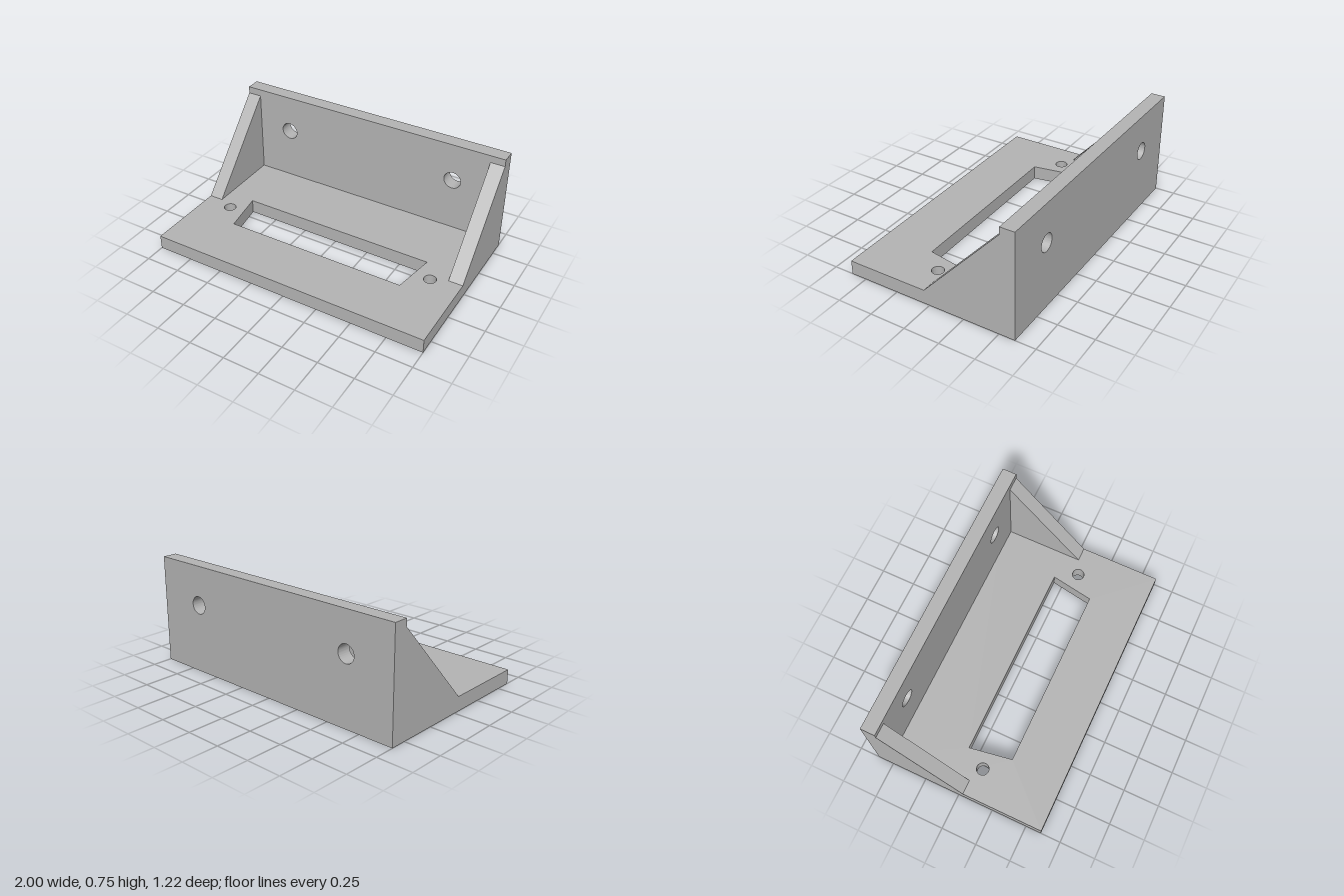
import * as THREE from 'three';
import { toCreasedNormals } from 'three/addons/utils/BufferGeometryUtils.js';

const polygon = (points) => new THREE.Shape(points.map(([x, y]) => new THREE.Vector2(x, y)));

function addRoundHole(shape, x, y, radius) {
  const hole = new THREE.Path();
  hole.absarc(x, y, radius, 0, Math.PI * 2, true);
  shape.holes.push(hole);
}

// Straight extrusion with smooth hole walls and sharp edges
function extrude(shape, depth) {
  const geometry = new THREE.ExtrudeGeometry(shape, { depth, bevelEnabled: false, curveSegments: 32 });
  return toCreasedNormals(geometry, Math.PI / 6);
}

export function createModel() {
  const group = new THREE.Group();
  const grey = new THREE.MeshStandardMaterial({ color: 0xb4b4b4 });
  grey.name = 'plain grey';

  const add = (name, geometry) => {
    const mesh = new THREE.Mesh(geometry, grey);
    mesh.name = name;
    group.add(mesh);
  };

  const W = 1, D = 0.61, T = 0.1, H = 0.75;

  // Base plate, drawn with -z as the shape's y: tapered slot and two screw holes
  const base = polygon([[-W, -D], [W, -D], [W, D], [-W, D]]);
  base.holes.push(polygon([[-0.65, -0.235], [-0.7, 0.065], [0.7, 0.065], [0.65, -0.235]]));
  for (const side of [-1, 1]) addRoundHole(base, side * 0.792, -0.083, 0.042);
  add('basePlate', extrude(base, T).rotateX(-Math.PI / 2));

  // Upright back wall with two mounting holes
  const wall = polygon([[-W, T], [W, T], [W, H], [-W, H]]);
  for (const side of [-1, 1]) addRoundHole(wall, side * 0.65, 0.477, 0.061);
  add('backWall', extrude(wall, T).translate(0, 0, -D));

  // Triangular end braces, drawn with -z as the shape's x
  const brace = polygon([[-0.037, T], [D - T, T], [D - T, 0.7]]);
  for (const [name, x] of [['leftBrace', W - T], ['rightBrace', -W]]) {
    add(name, extrude(brace, T).rotateY(Math.PI / 2).translate(x, 0, 0));
  }

  return group;
}
